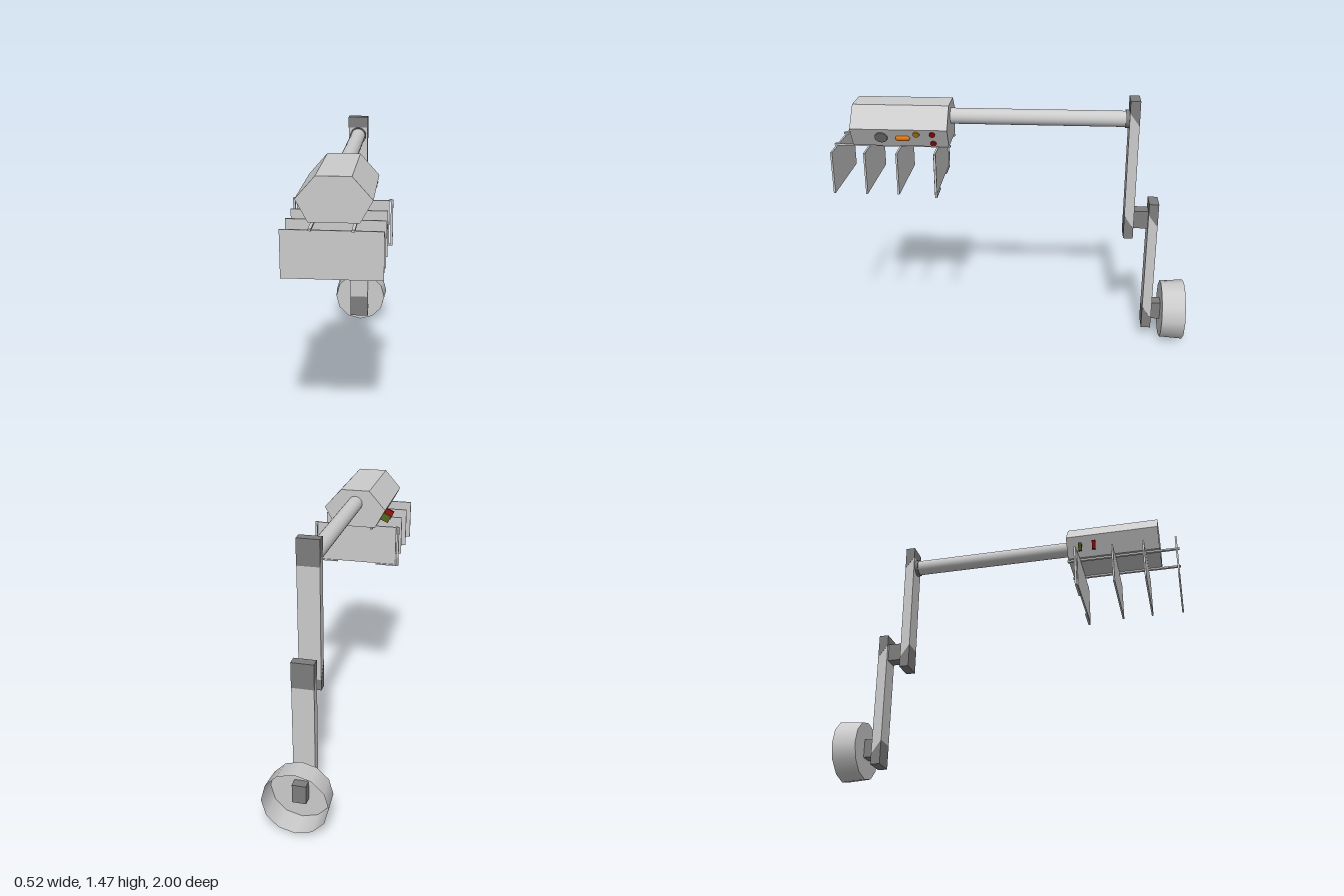
import * as THREE from 'three';

const material = (color = 0xcccccc, extra = {}) => new THREE.MeshStandardMaterial({ color, ...extra });
const GREY = material();
const DARK = material(0x7d7d7d);
const RED = material(0xa01010);
const ORANGE = material(0xe07818);
const YELLOW = material(0xc08a18);
const OLIVE = material(0x56661a);
const THIN = material(0xcccccc, { side: THREE.DoubleSide });

export function createModel() {
  const model = new THREE.Group();

  const add = (name, geometry, mat, x = 0, y = 0, z = 0) => {
    const mesh = new THREE.Mesh(geometry, mat);
    mesh.name = name;
    mesh.position.set(x, y, z);
    model.add(mesh);
    return mesh;
  };
  const box = (name, w, h, d, x, y, z, mat = GREY) => add(name, new THREE.BoxGeometry(w, h, d), mat, x, y, z);
  const outline = (points) => new THREE.Shape(points.map(([a, b]) => new THREE.Vector2(a, b)));
  // Side profile given as (z, y), extruded across x
  const sideProfile = (points, width) =>
    new THREE.ExtrudeGeometry(outline(points), { depth: width, bevelEnabled: false })
      .rotateY(-Math.PI / 2).translate(width / 2, 0, 0);

  // Six-sided housing
  const hexagon = [[0.122, 1.22], [0.183, 1.33], [0.085, 1.44], [-0.085, 1.44], [-0.181, 1.33], [-0.122, 1.22]];
  add('housing', new THREE.ExtrudeGeometry(outline(hexagon), { depth: 0.53, bevelEnabled: false }), GREY, 0, 0, 0.36);

  // Rails under the housing and the panels hanging from them
  for (const s of [-1, 1]) box('rail', 0.015, 0.01, 0.645, s * 0.1, 1.215, 0.677);
  for (const z of [0.985, 0.805, 0.63, 0.425]) box('hangingPanel', 0.48, 0.235, 0.01, 0, 1.095, z);

  // Corner brackets around the rear panel
  for (const s of [-1, 1]) {
    box('bracketSide', 0.012, 0.245, 0.012, s * 0.253, 1.093, 0.42);
    box('bracketTop', 0.02, 0.008, 0.012, s * 0.249, 1.212, 0.42);
    box('bracketFoot', 0.14, 0.008, 0.012, s * 0.189, 0.974, 0.42);
  }

  // Lamps and buttons on the slanted lower left face
  const onSlope = (name, geometry, mat, y, z) => {
    const x = 0.122 + (y - 1.22) * 0.555;
    add(name, geometry, mat, x, y, z).rotation.z = -2.07;
  };
  const disc = (r) => new THREE.CylinderGeometry(r, r, 0.016, 20);
  onSlope('lens', disc(0.035), DARK, 1.28, 0.725);
  onSlope('capsuleLamp', new THREE.CapsuleGeometry(0.017, 0.046, 6, 16).rotateX(Math.PI / 2), ORANGE, 1.275, 0.607);
  onSlope('yellowButton', disc(0.018), YELLOW, 1.303, 0.53);
  onSlope('redButton', disc(0.017), RED, 1.303, 0.443);
  onSlope('redButton', disc(0.017), RED, 1.243, 0.443);

  // Coloured tabs on the other slanted face
  box('redTab', 0.05, 0.05, 0.02, -0.175, 1.265, 0.52, RED).rotation.set(0, 0.1, 0.45);
  box('oliveTab', 0.05, 0.045, 0.02, -0.172, 1.263, 0.44, OLIVE).rotation.set(0, 0.1, 0.45);

  // Round boom with a collar at the arm
  const rod = (r, length) => new THREE.CylinderGeometry(r, r, length, 32).rotateX(Math.PI / 2);
  add('boom', rod(0.044, 0.98), GREY, 0, 1.36, -0.13);
  add('boomCollar', rod(0.05, 0.02), DARK, 0, 1.36, -0.61);

  // Two flat arms with dark wedge-shaped end caps
  const arm = (name, front, bottom, top) => {
    const back = front - 0.055;
    add(name, sideProfile([[front, bottom + 0.14], [back, bottom + 0.06], [back, top - 0.14], [front, top - 0.065]], 0.118), GREY);
    add(name + 'BottomCap', sideProfile([[front, bottom], [back, bottom], [back, bottom + 0.06], [front, bottom + 0.14]], 0.12), DARK);
    add(name + 'TopCap', sideProfile([[front, top - 0.065], [back, top - 0.14], [back, top], [front, top]], 0.12), DARK);
  };
  arm('upperArm', -0.62, 0.667, 1.475);
  arm('lowerArm', -0.757, 0.08, 0.88);

  // Blocks joining the arms and the base
  box('armJoint', 0.075, 0.105, 0.1, 0, 0.775, -0.715, DARK);
  box('baseJoint', 0.075, 0.105, 0.115, 0, 0.183, -0.86, DARK);

  // Twelve-sided cup, open at the back
  add('baseCup', new THREE.CylinderGeometry(0.168, 0.177, 0.135, 12, 1, true).rotateX(Math.PI / 2), THIN, 0, 0.18, -0.9325);
  add('baseCupFace', new THREE.CircleGeometry(0.168, 12).rotateZ(Math.PI / 2), THIN, 0, 0.18, -0.865);

  // Settle on the ground and centre
  const bounds = new THREE.Box3().setFromObject(model);
  const centre = bounds.getCenter(new THREE.Vector3());
  for (const part of model.children) {
    part.position.x -= centre.x;
    part.position.y -= bounds.min.y;
    part.position.z -= centre.z;
  }
  return model;
}
